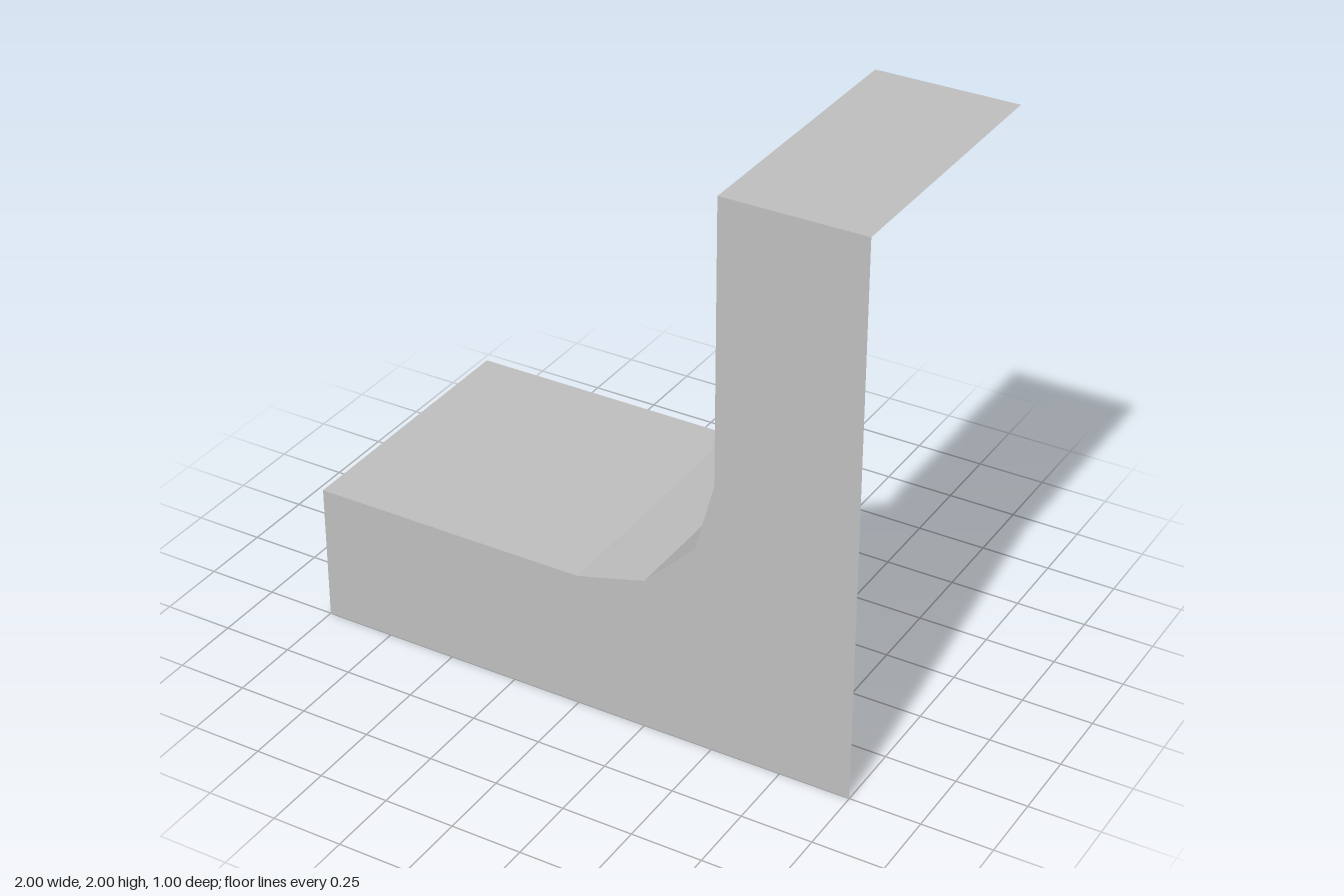
import * as THREE from 'three';

export function createModel() {
  const group = new THREE.Group();
  const grey = new THREE.MeshStandardMaterial({ color: 0xc0c0c0, side: THREE.DoubleSide, flatShading: true });
  grey.name = 'grey';
  const halfDepth = 0.5;

  // Upper outline from the low end, round the concave corner, to the top
  const outline = [new THREE.Vector2(-1, 0), new THREE.Vector2(-1, 0.5)];
  for (let i = 0; i <= 3; i++) {
    const a = (i / 3) * Math.PI / 2;
    outline.push(new THREE.Vector2(0.5 * Math.sin(a), 1 - 0.5 * Math.cos(a)));
  }
  outline.push(new THREE.Vector2(0.5, 2), new THREE.Vector2(1, 2));

  // Front wall: the outline closed along the base and the open right side
  const frontGeometry = new THREE.ShapeGeometry(new THREE.Shape([...outline, new THREE.Vector2(1, 0)]));
  const frontWall = new THREE.Mesh(frontGeometry, grey);
  frontWall.name = 'frontWall';
  frontWall.position.z = halfDepth;
  group.add(frontWall);

  // One flat panel per outline segment; back, base and right side stay open
  const names = ['endWall', 'lowDeck', 'curveLower', 'curveMiddle', 'curveUpper', 'riser', 'topDeck'];
  names.forEach((name, i) => {
    const a = outline[i], b = outline[i + 1];
    const geometry = new THREE.PlaneGeometry(a.distanceTo(b), 2 * halfDepth);
    geometry.rotateX(-Math.PI / 2);
    const panel = new THREE.Mesh(geometry, grey);
    panel.name = name;
    panel.position.set((a.x + b.x) / 2, (a.y + b.y) / 2, 0);
    panel.rotation.z = Math.atan2(b.y - a.y, b.x - a.x);
    group.add(panel);
  });

  return group;
}
